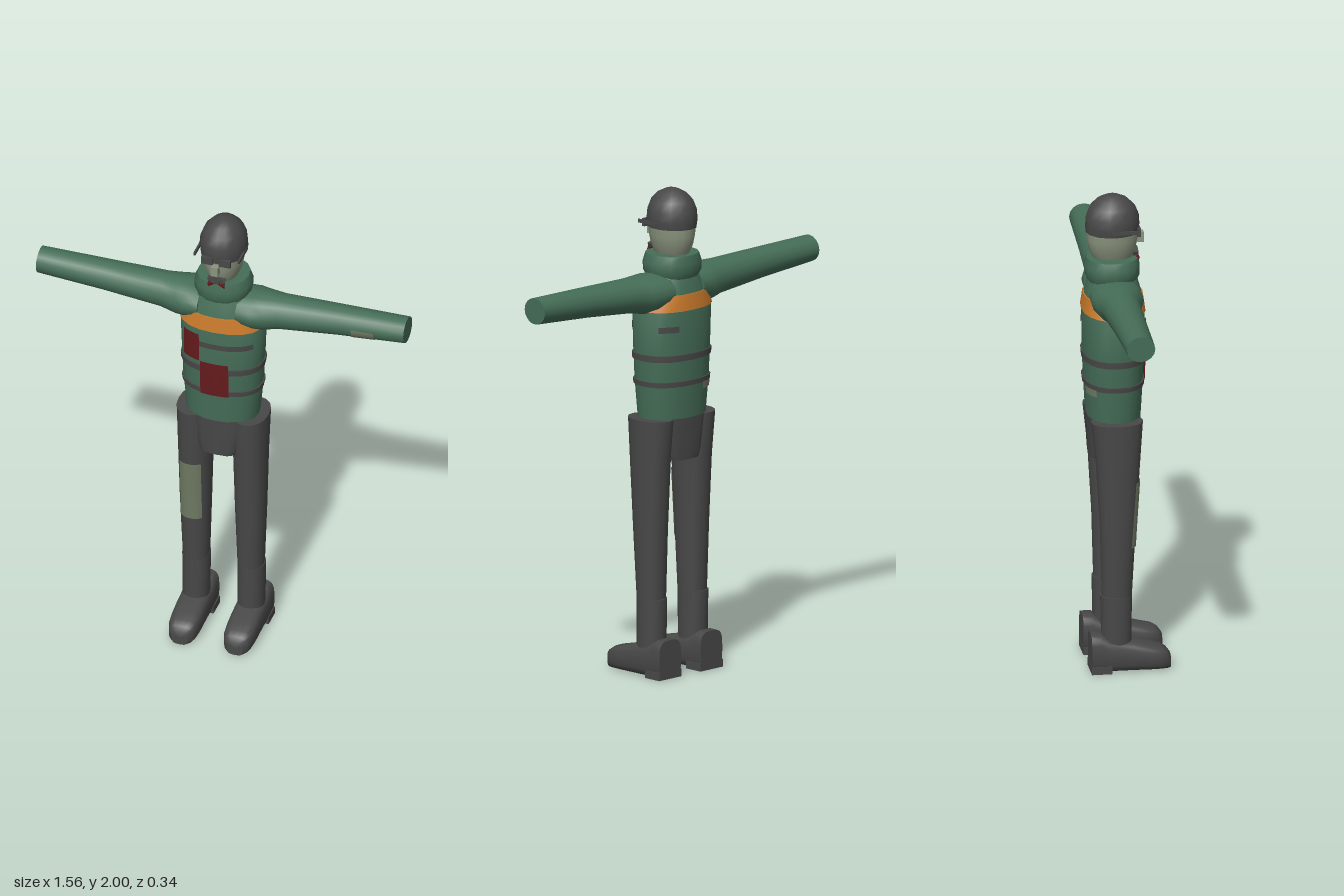
import * as THREE from 'three';
import { toCreasedNormals } from 'three/addons/utils/BufferGeometryUtils.js';

const material = (name, color, side = THREE.FrontSide) => {
  const m = new THREE.MeshStandardMaterial({ color, side });
  m.name = name;
  return m;
};

// Superelliptic point; each axis uses its cyclic (u, v) plane: y -> (z, x), x -> (y, z), z -> (x, y).
const place = { y: (t, u, v) => [v, t, u], x: (t, u, v) => [t, u, v], z: (t, u, v) => [u, v, t] };
const power = (c, e) => Math.sign(c) * Math.pow(Math.abs(c), 2 / e);

// Capped loft through sections [t, centreU, centreV, radiusU, radiusV].
function loft(axis, sections, sides = 16, e = 2) {
  const rows = [...sections].sort((a, b) => a[0] - b[0]);
  const pos = [], index = [];
  for (const [t, cu, cv, ru, rv] of rows) {
    for (let i = 0; i < sides; i++) {
      const a = (i / sides) * Math.PI * 2;
      pos.push(...place[axis](t, cu + ru * power(Math.cos(a), e), cv + rv * power(Math.sin(a), e)));
    }
  }
  for (let r = 0; r < rows.length - 1; r++) {
    for (let i = 0; i < sides; i++) {
      const j = (i + 1) % sides, a = r * sides + i, b = r * sides + j;
      index.push(a, b, b + sides, a, b + sides, a + sides);
    }
  }
  const first = rows[0], last = rows[rows.length - 1], base = rows.length * sides;
  pos.push(...place[axis](first[0], first[1], first[2]), ...place[axis](last[0], last[1], last[2]));
  for (let i = 0; i < sides; i++) {
    const j = (i + 1) % sides, top = base - sides;
    index.push(base, j, i, base + 1, top + i, top + j);
  }
  const g = new THREE.BufferGeometry();
  g.setAttribute('position', new THREE.Float32BufferAttribute(pos, 3));
  g.setIndex(index);
  return toCreasedNormals(g, 0.65);
}

// Section interpolated at t.
function sectionAt(sections, t) {
  let k = 0;
  while (k < sections.length - 2 && t > sections[k + 1][0]) k++;
  const a = sections[k], b = sections[k + 1], f = (t - a[0]) / (b[0] - a[0]);
  return a.map((v, i) => v + (b[i] - v) * f);
}

// Thin curved sheet over a (t, u) rectangle.
function sheet(t0, t1, u0, u1, point, n = 10) {
  const g = new THREE.PlaneGeometry(1, 1, n, 4);
  const p = g.attributes.position;
  for (let i = 0; i < p.count; i++) {
    const u = u0 + (p.getX(i) + 0.5) * (u1 - u0), t = t0 + (p.getY(i) + 0.5) * (t1 - t0);
    p.setXYZ(i, ...point(t, u));
  }
  g.computeVertexNormals();
  return g;
}

// Height on an upright lofted body, on its front (+1) or back (-1).
const onBody = (sections, e, face, lift) => (y, x) => {
  const [, cz, cx, rz, rx] = sectionAt(sections, y);
  const d = Math.min(1, Math.abs((x - cx) / rx));
  return [x, y, cz + face * (rz * Math.pow(1 - Math.pow(d, e), 1 / e) + lift)];
};

export function createModel() {
  const model = new THREE.Group();
  model.name = 'figure';
  const green = material('jacket green', 0x456d57);
  const grey = material('dark grey', 0x484848);
  const orange = material('orange band', 0xc97a2b);
  const skin = material('pale face', 0x8a947e);
  const red = material('dark red', 0x651b1d, THREE.DoubleSide);
  const patchTone = material('faded patch', 0x707b64, THREE.DoubleSide);
  const stripeTone = material('stripe grey', 0x484848, THREE.DoubleSide);
  const add = (name, geometry, mat, parent = model) => {
    const m = new THREE.Mesh(geometry, mat);
    m.name = name;
    parent.add(m);
    return m;
  };
  const box = (name, w, h, d, x, y, z, mat) =>
    add(name, new THREE.BoxGeometry(w, h, d), mat).position.set(x, y, z);

  // Jacket body
  const torso = [
    [1.065, -0.04, 0, 0.11, 0.15], [1.22, -0.04, 0, 0.119, 0.164], [1.35, -0.04, 0, 0.123, 0.17],
    [1.51, -0.04, 0, 0.125, 0.176], [1.58, -0.04, 0, 0.116, 0.148], [1.63, -0.04, 0, 0.102, 0.12],
    [1.67, -0.04, 0, 0.09, 0.1],
  ];
  add('jacket', loft('y', torso, 20, 2.3), green);
  const hoop = (name, y0, y1, grow, mat) => {
    const rows = [y0, y1].map((y) => sectionAt(torso, y).map((v, i) => (i > 2 ? v + grow : v)));
    add(name, loft('y', rows, 20, 2.3), mat);
  };
  hoop('chestBand', 1.515, 1.58, 0.005, orange);
  hoop('upperStrap', 1.308, 1.334, 0.006, grey);
  hoop('lowerStrap', 1.202, 1.223, 0.006, grey);
  for (const face of [1, -1]) {
    add('chestStripe', sheet(1.43, 1.455, -0.075 * face, 0.15, onBody(torso, 2.3, face, 0.004)), stripeTone);
  }
  add('chestPatch', sheet(1.36, 1.49, -0.14, -0.065, onBody(torso, 2.3, 1, 0.007)), red);
  add('bellyPatch', sheet(1.2, 1.36, -0.06, 0.06, onBody(torso, 2.3, 1, 0.008)), red);
  add('backPatch', sheet(1.175, 1.205, -0.13, -0.06, onBody(torso, 2.3, -1, 0.007)), patchTone);

  // Collar
  add('collar', loft('y', [
    [1.64, -0.043, 0, 0.1, 0.105], [1.665, -0.043, 0, 0.112, 0.117],
    [1.7, -0.043, 0, 0.112, 0.119], [1.735, -0.043, 0, 0.105, 0.105],
  ], 16, 2.2), green);

  // Head and cap
  add('face', loft('y', [
    [1.7, -0.04, 0, 0.06, 0.045], [1.735, -0.04, 0, 0.08, 0.06],
    [1.77, -0.042, 0, 0.096, 0.075], [1.81, -0.042, 0, 0.104, 0.083], [1.86, -0.042, 0, 0.105, 0.086],
  ], 16), skin);
  add('cap', loft('y', [
    [1.842, -0.042, 0, 0.108, 0.094], [1.87, -0.042, 0, 0.111, 0.098], [1.91, -0.042, 0, 0.108, 0.095],
    [1.95, -0.042, 0, 0.092, 0.08], [1.98, -0.042, 0, 0.062, 0.054], [1.996, -0.042, 0, 0.028, 0.024],
    [2, -0.042, 0, 0.006, 0.006],
  ], 14), grey);
  box('nose', 0.03, 0.042, 0.045, 0, 1.813, 0.063, skin);
  for (const s of [-1, 1]) {
    box('lens', 0.05, 0.032, 0.014, s * 0.037, 1.848, 0.06, grey);
    box('glassesArm', 0.008, 0.014, 0.11, s * 0.094, 1.862, 0, grey);
    const whisker = add('moustacheHalf', new THREE.BoxGeometry(0.036, 0.018, 0.02), grey);
    whisker.position.set(s * 0.018, 1.757, 0.05);
    whisker.rotation.z = -s * 0.35;
    const bow = add('neckBowHalf', new THREE.ConeGeometry(0.016, 0.035, 4), red);
    bow.position.set(s * 0.017, 1.734, 0.058);
    bow.rotation.z = s * Math.PI / 2;
    bow.scale.z = 0.5;
  }
  box('beard', 0.026, 0.034, 0.02, 0, 1.75, 0.049, grey);

  // Sleeves
  const sleeve = [
    [0.08, 1.592, -0.04, 0.068, 0.108], [0.14, 1.588, -0.04, 0.078, 0.107], [0.185, 1.586, -0.04, 0.08, 0.093],
    [0.25, 1.592, -0.04, 0.072, 0.078], [0.5, 1.606, -0.041, 0.062, 0.067], [0.78, 1.617, -0.042, 0.054, 0.058],
  ];
  for (const s of [-1, 1]) {
    add(s > 0 ? 'leftSleeve' : 'rightSleeve', loft('x', sleeve.map(([x, ...r]) => [s * x, ...r]), 16), green);
  }
  add('sleevePatch', sheet(0.56, 0.655, 1.562, 1.612, (x, y) => {
    const [, cy, cz, ry, rz] = sectionAt(sleeve, x);
    const d = Math.min(1, Math.abs((y - cy) / ry));
    return [x, y, cz + rz * Math.sqrt(1 - d * d) + 0.003];
  }), patchTone);

  // Trousers
  add('trouserSeat', loft('y', [
    [0.89, -0.04, 0, 0.1, 0.08], [0.92, -0.04, 0, 0.102, 0.094], [1.068, -0.04, 0, 0.107, 0.116],
  ], 20, 4), grey);
  const leg = (s) => [
    [0.3, -0.041, s * 0.116, 0.061, 0.053], [0.6, -0.037, s * 0.117, 0.073, 0.063],
    [0.88, -0.036, s * 0.117, 0.09, 0.069], [1.065, -0.04, s * 0.117, 0.106, 0.074],
  ];
  for (const s of [-1, 1]) {
    const side = s > 0 ? 'left' : 'right';
    add(side + 'TrouserLeg', loft('y', leg(s), 16, 2.2), grey);
    add(side + 'BootShaft', loft('y', [
      [0.08, -0.043, s * 0.117, 0.061, 0.054], [0.32, -0.044, s * 0.117, 0.065, 0.056],
    ], 16, 2.2), grey);
    // Shoe, given by its half width and top height along its length
    const shoe = [
      [-0.15, 0.062, 0.16], [-0.11, 0.063, 0.16], [-0.075, 0.063, 0.138], [0.02, 0.063, 0.125],
      [0.09, 0.063, 0.105], [0.135, 0.059, 0.095], [0.16, 0.05, 0.08], [0.175, 0.033, 0.06],
    ].map(([z, w, h]) => [z, s * 0.117, h / 2, w, h / 2]);
    add(side + 'Shoe', loft('z', shoe, 20, 3.5), grey);
    box(side + 'Heel', 0.127, 0.032, 0.082, s * 0.117, 0.016, -0.11, grey);
  }
  add('thighPatch', sheet(0.53, 0.81, -0.165, -0.073, onBody(leg(-1), 2.2, 1, 0.004)), patchTone);

  return model;
}
